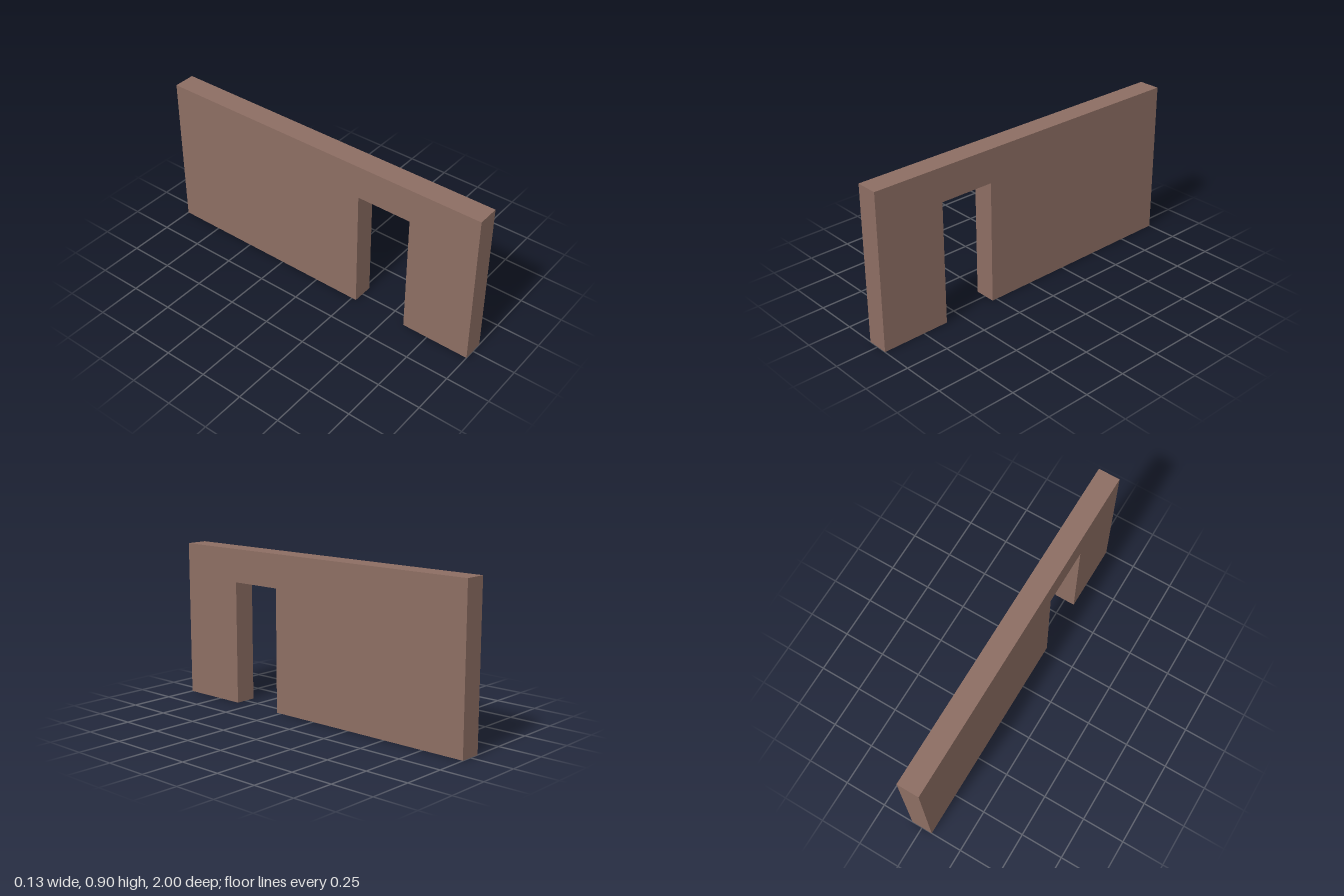
import * as THREE from 'three';

const LENGTH = 2, HEIGHT = 0.904, THICKNESS = 0.126;
const DOOR = { back: 0.278, front: 0.598, top: 0.712 };

export function createModel() {
  const model = new THREE.Group();
  model.name = 'wallWithDoorway';

  const brown = new THREE.MeshStandardMaterial({ color: 0x8d6e63 });
  brown.name = 'brown';

  // Wall outline with the doorway notched up from the floor
  const outline = new THREE.Shape([
    [-LENGTH / 2, 0],
    [DOOR.back, 0],
    [DOOR.back, DOOR.top],
    [DOOR.front, DOOR.top],
    [DOOR.front, 0],
    [LENGTH / 2, 0],
    [LENGTH / 2, HEIGHT],
    [-LENGTH / 2, HEIGHT],
  ].map(([z, y]) => new THREE.Vector2(z, y)));

  // Extrude through the thickness, then turn the length along z
  const geometry = new THREE.ExtrudeGeometry(outline, { depth: THICKNESS, bevelEnabled: false });
  geometry.translate(0, 0, -THICKNESS / 2);
  geometry.rotateY(-Math.PI / 2);

  const wall = new THREE.Mesh(geometry, brown);
  wall.name = 'wall';
  model.add(wall);
  return model;
}
